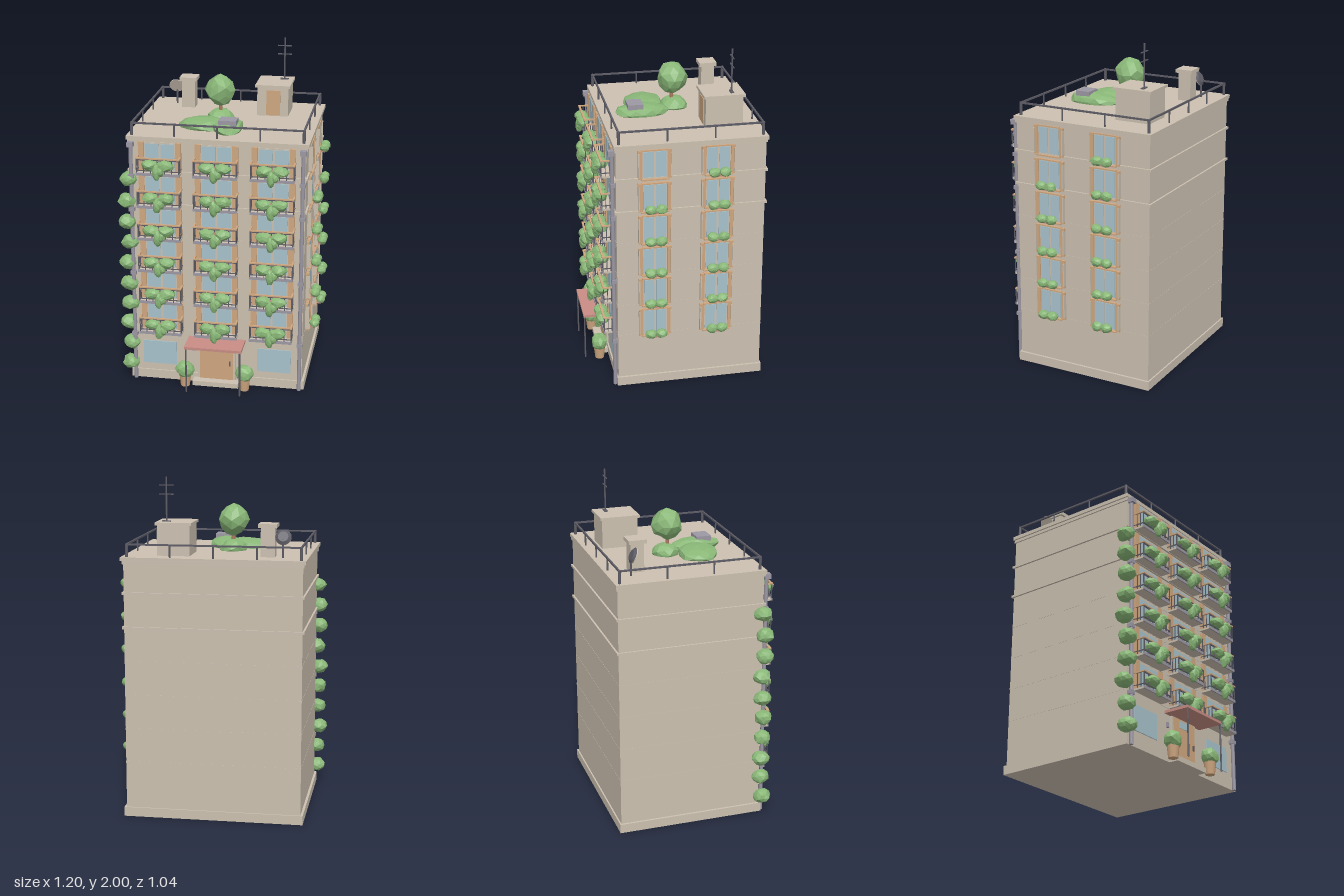
import * as THREE from 'three';

const mat = (name, color, extra = {}) => Object.assign(new THREE.MeshStandardMaterial({ color, ...extra }), { name });

export function createModel() {
  const wall = mat('stone beige', 0xcbc0b0);
  const wood = mat('tan wood', 0xcfa780);
  const leaf = mat('leaf green', 0x8ab878, { flatShading: true });
  const glass = mat('window blue', 0xa8c2cc);
  const red = mat('awning red', 0xc88d84);
  const metal = mat('dark metal', 0x5e5d66);
  const grey = mat('pipe grey', 0x9c98a4);
  const bark = mat('bark brown', 0xa9795c);

  const model = new THREE.Group();
  const CX = -0.006, CZ = -0.077, FRONT = 0.36, RIGHT = 0.512;

  const group = (name, parent = model) => {
    const g = new THREE.Group();
    g.name = name;
    parent.add(g);
    return g;
  };
  const add = (parent, name, geo, material, x, y, z) => {
    const m = new THREE.Mesh(geo, material);
    m.name = name;
    m.position.set(x, y, z);
    parent.add(m);
    return m;
  };
  const box = (p, name, material, w, h, d, x, y, z) =>
    add(p, name, new THREE.BoxGeometry(w, h, d), material, x, y, z);
  // cylinder standing on y
  const post = (p, name, material, r, h, x, y, z, r2 = r, sides = 8) =>
    add(p, name, new THREE.CylinderGeometry(r2, r, h, sides), material, x, y + h / 2, z);

  // faceted foliage: icosahedron with vertices pushed in and out by a position hash
  let seed = 1;
  const blob = (p, name, rx, ry, rz, x, y, z) => {
    const geo = new THREE.IcosahedronGeometry(1, 1), pos = geo.attributes.position, v = new THREE.Vector3();
    seed++;
    for (let i = 0; i < pos.count; i++) {
      v.fromBufferAttribute(pos, i);
      const h = Math.sin(Math.round(v.x * 50) * 12.9 + Math.round(v.y * 50) * 78.2 + Math.round(v.z * 50) * 37.7 + seed * 4.1) * 43.7;
      v.multiplyScalar(0.86 + 0.2 * (h - Math.floor(h)));
      pos.setXYZ(i, v.x * rx, v.y * ry, v.z * rz);
    }
    geo.computeVertexNormals();
    return add(p, name, geo, leaf, x, y, z);
  };

  // main block, plinth, storey bands and roof slab
  const building = group('building');
  box(building, 'body', wall, 1.036, 1.53, 0.87, CX, 0.765, CZ);
  box(building, 'plinth', wall, 1.064, 0.055, 0.888, CX, 0.0275, CZ);
  box(building, 'roofSlab', wall, 1.07, 0.022, 0.892, CX, 1.539, CZ);
  box(building, 'roofBand', wall, 1.052, 0.02, 0.882, CX, 1.52, CZ);
  const floors = [0, 1, 2, 3, 4, 5].map(i => 0.327 + i * 0.2016);
  floors.forEach((y, i) => {
    const out = i > 3 ? 0.022 : 0.002;
    box(building, 'storeyBand', wall, 1.036 + out, 0.014, 0.87 + out, CX, y + 0.005, CZ);
  });

  // window unit facing +z: two panes, mullion, lintel and side shutters
  const windowUnit = (parent, w, h, shutterW) => {
    const g = group('window', parent);
    box(g, 'frame', wall, w, h, 0.008, 0, h / 2, 0.004);
    for (const s of [-1, 1]) {
      box(g, 'pane', glass, w / 2 - 0.012, h - 0.016, 0.006, s * w / 4, h / 2, 0.009);
      box(g, 'shutter', wood, shutterW, h + 0.004, 0.016, s * (w / 2 + shutterW / 2), h / 2, 0.008);
    }
    return g;
  };

  // balconies with planting on the front
  const balconyXs = [-0.34, CX, 0.327];
  floors.forEach(y => balconyXs.forEach(x => {
    const b = group('balcony');
    b.position.set(x, y, FRONT);
    const win = windowUnit(b, 0.185, 0.172, 0.034);
    win.position.y = 0.012;
    box(b, 'slab', wall, 0.256, 0.012, 0.07, 0, 0.006, 0.035);
    box(b, 'slabEdge', grey, 0.258, 0.016, 0.008, 0, 0.008, 0.071);
    box(b, 'handrail', wood, 0.26, 0.008, 0.012, 0, 0.104, 0.071);
    box(b, 'frontRail', metal, 0.254, 0.006, 0.006, 0, 0.096, 0.071);
    box(b, 'lowRail', metal, 0.254, 0.005, 0.005, 0, 0.03, 0.071);
    for (const s of [-1, 1]) {
      box(b, 'sideHandrail', wood, 0.01, 0.008, 0.07, s * 0.125, 0.104, 0.035);
      box(b, 'sideLowRail', metal, 0.005, 0.005, 0.07, s * 0.125, 0.03, 0.035);
      for (const z of [0.025, 0.048]) box(b, 'sideBaluster', metal, 0.004, 0.095, 0.004, s * 0.125, 0.055, z);
    }
    for (let i = -3; i <= 3; i++) box(b, 'baluster', metal, 0.005, 0.095, 0.005, i * 0.0417, 0.055, 0.071);
    box(b, 'flowerBox', red, 0.15, 0.03, 0.03, 0, 0.065, 0.07);
    for (const s of [-1, 1]) blob(b, 'bush', 0.053, 0.036, 0.045, s * 0.045, 0.066, 0.068);
    blob(b, 'trailingLeaves', 0.026, 0.052, 0.026, -0.004, 0.026, 0.088);
    blob(b, 'trailingLeaves', 0.026, 0.034, 0.024, 0.018, 0.036, 0.088);
  }));

  // windows and window boxes on the right-hand wall
  floors.forEach((y, i) => [0.136, -0.231].forEach((z, j) => {
    const g = group('sideWindow');
    g.position.set(RIGHT, y, z);
    g.rotation.y = Math.PI / 2;
    const win = windowUnit(g, 0.142, 0.17, 0.026);
    win.position.y = 0.007;
    box(g, 'lintel', wood, 0.15, 0.008, 0.018, 0, 0.178, 0.009);
    box(g, 'sill', wood, 0.16, 0.008, 0.028, 0, 0.004, 0.014);
    for (const s of [-1, 1]) box(g, 'shutterEdge', wall, 0.007, 0.145, 0.024, s * 0.094, 0.09, 0.012);
    if (i === 5 && j === 0) return;
    box(g, 'flowerBox', red, 0.1, 0.018, 0.03, 0, 0.014, 0.04);
    for (const s of [-1, 1]) blob(g, 'bush', 0.037, 0.029, 0.031, s * 0.031, 0.03, 0.05);
  }));

  // ground floor windows
  for (const x of [-0.36, 0.342])
    box(building, 'shopWindow', glass, 0.206, 0.15, 0.008, x, 0.175, FRONT);

  // entrance
  const entrance = group('entrance');
  box(entrance, 'step', wall, 0.28, 0.03, 0.07, -0.008, 0.015, 0.39);
  box(entrance, 'doorFrame', wall, 0.23, 0.265, 0.012, -0.008, 0.155, FRONT + 0.005);
  box(entrance, 'door', wood, 0.205, 0.255, 0.016, -0.008, 0.155, FRONT + 0.008);
  box(entrance, 'doorGlass', glass, 0.09, 0.042, 0.006, -0.01, 0.25, FRONT + 0.017);
  box(entrance, 'doorHandle', metal, 0.008, 0.03, 0.01, 0.075, 0.14, FRONT + 0.02);
  box(entrance, 'doorbell', grey, 0.016, 0.03, 0.01, -0.155, 0.22, FRONT + 0.004);
  box(entrance, 'awning', red, 0.346, 0.016, 0.158, -0.006, 0.292, 0.439);
  for (const s of [-1, 1]) {
    post(entrance, 'awningPost', metal, 0.005, 0.285, -0.006 + s * 0.163, 0, 0.512);
    const x = -0.01 + s * 0.182;
    post(entrance, 'planter', wood, 0.028, 0.075, x, 0, 0.425, 0.036, 10);
    blob(entrance, 'planterBush', 0.06, 0.055, 0.05, x, 0.108, 0.425);
  }

  // drainpipes on the front corners
  const drains = group('drainpipes');
  for (const x of [-0.511, 0.498]) {
    post(drains, 'pipe', grey, 0.012, 1.5, x, 0, 0.377);
    box(drains, 'rainHead', grey, 0.036, 0.03, 0.036, x, 1.505, 0.382);
    for (const y of [0.3, 0.7, 1.105, 1.31]) box(drains, 'bracket', grey, 0.034, 0.022, 0.03, x, y, 0.375);
  }

  // climbing plant on the front right-hand corner
  const ivy = group('climber');
  for (let i = 0; i < 10; i++)
    blob(ivy, 'leafClump', 0.055, 0.046, 0.056, -0.54 + 0.008 * Math.sin(i * 2.3), 0.105 + i * 0.131, 0.362 + 0.008 * Math.cos(i * 1.7));

  // roof railing
  const railing = group('roofRailing');
  const x0 = -0.511, x1 = 0.495, z0 = -0.495, z1 = 0.337;
  for (const y of [1.622]) {
    for (const z of [z0, z1]) box(railing, 'rail', metal, x1 - x0, 0.01, 0.01, (x0 + x1) / 2, y, z);
    for (const x of [x0, x1]) box(railing, 'rail', metal, 0.01, 0.01, z1 - z0, x, y, (z0 + z1) / 2);
  }
  for (let i = 0; i <= 4; i++) for (const z of [z0, z1])
    post(railing, 'railPost', metal, i % 4 ? 0.005 : 0.009, 0.077, x0 + (x1 - x0) * i / 4, 1.55, z);
  for (let i = 1; i < 3; i++) for (const x of [x0, x1])
    post(railing, 'railPost', metal, 0.005, 0.077, x, 1.55, z0 + (z1 - z0) * i / 3);

  // stair house with aerial
  const stair = group('stairHouse');
  box(stair, 'stairWalls', wall, 0.19, 0.18, 0.22, 0.238, 1.64, -0.306);
  box(stair, 'stairRoof', wall, 0.214, 0.016, 0.243, 0.238, 1.734, -0.306);
  box(stair, 'stairDoor', wood, 0.085, 0.155, 0.008, 0.242, 1.632, -0.195);
  post(stair, 'aerialMast', metal, 0.005, 0.26, 0.288, 1.74, -0.356);
  for (const y of [1.9, 1.952]) box(stair, 'aerialBar', metal, 0.086, 0.006, 0.006, 0.288, y, -0.356);
  box(stair, 'aerialFoot', metal, 0.05, 0.006, 0.02, 0.288, 1.745, -0.356);

  // chimney
  const chimney = group('chimney');
  box(chimney, 'shaft', wall, 0.082, 0.17, 0.08, -0.306, 1.635, -0.343);
  box(chimney, 'chimneyCap', wall, 0.108, 0.022, 0.106, -0.306, 1.73, -0.343);

  // satellite dish, leaning forward
  const dish = group('satelliteDish');
  post(dish, 'dishPole', metal, 0.006, 0.11, -0.395, 1.55, -0.395);
  const bowl = group('dishBowl', dish);
  bowl.position.set(-0.395, 1.668, -0.383);
  bowl.rotation.x = Math.PI / 2 + 0.45;
  add(bowl, 'dishFace', new THREE.CylinderGeometry(0.047, 0.047, 0.006, 16), wall, 0, 0.004, 0);
  add(bowl, 'dishBack', new THREE.CylinderGeometry(0.047, 0.03, 0.012, 16), metal, 0, -0.005, 0);

  // roof garden: low mounds, tree and bench block
  const garden = group('roofGarden');
  blob(garden, 'mound', 0.16, 0.045, 0.13, -0.135, 1.562, 0.09);
  blob(garden, 'mound', 0.095, 0.05, 0.165, 0.02, 1.562, 0.12);
  blob(garden, 'mound', 0.085, 0.055, 0.085, -0.06, 1.56, -0.085);
  post(garden, 'trunk', bark, 0.014, 0.13, -0.06, 1.55, -0.075, 0.009);
  blob(garden, 'treeCrown', 0.093, 0.097, 0.092, -0.062, 1.732, -0.078);
  box(garden, 'ventBox', grey, 0.105, 0.03, 0.09, 0.028, 1.607, 0.166);

  return model;
}
